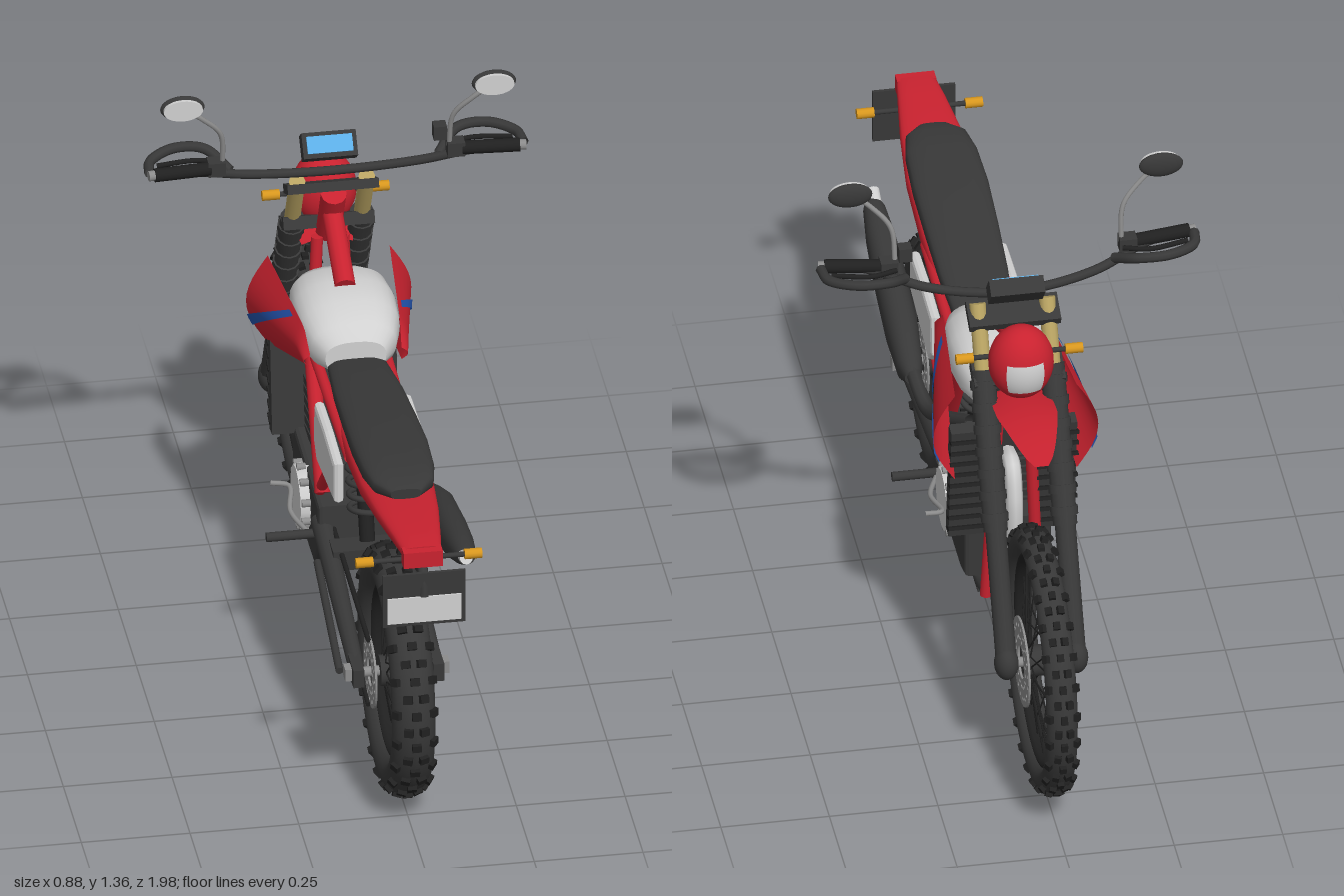
import * as THREE from 'three';
import { mergeGeometries } from 'three/addons/utils/BufferGeometryUtils.js';

const mat = (name, color, side = THREE.FrontSide) => {
  const m = new THREE.MeshStandardMaterial({ color, side });
  m.name = name;
  return m;
};
const V = (p) => new THREE.Vector3(...p);
const both = (fn) => [1, -1].forEach(fn);

export function createModel() {
  const red = mat('red', 0xc9222f, THREE.DoubleSide), dark = mat('charcoal', 0x383838, THREE.DoubleSide);
  const black = mat('black', 0x202020), light = mat('light grey', 0xd0d0d0), steel = mat('steel', 0x8c8c8c);
  const gold = mat('gold', 0xb8a362), amber = mat('amber', 0xd8971e);
  const blue = mat('blue', 0x2455b0, THREE.DoubleSide), screen = mat('screen blue', 0x5caee6);
  const root = new THREE.Group();
  root.name = 'motorcycle';

  const add = (name, geo, m, pos = [0, 0, 0], rot = [0, 0, 0], parent = root) => {
    const mesh = new THREE.Mesh(geo, m);
    mesh.name = name;
    mesh.position.set(...pos);
    mesh.rotation.set(...rot);
    parent.add(mesh);
    return mesh;
  };
  const box = (name, size, m, pos, rot) => add(name, new THREE.BoxGeometry(...size), m, pos, rot);
  // straight cylinder between two points
  const rodGeo = (a, b, r, r2 = r, n = 12) => {
    const A = V(a), B = V(b), d = B.clone().sub(A);
    const g = new THREE.CylinderGeometry(r2, r, d.length(), n);
    g.applyQuaternion(new THREE.Quaternion().setFromUnitVectors(V([0, 1, 0]), d.normalize()));
    const c = A.add(B).multiplyScalar(0.5);
    return g.translate(c.x, c.y, c.z);
  };
  const rod = (name, a, b, r, m, r2) => add(name, rodGeo(a, b, r, r2), m);
  const tube = (name, pts, r, m, n = 32) =>
    add(name, new THREE.TubeGeometry(new THREE.CatmullRomCurve3(pts.map(V)), n, r, 8), m);
  const ball = (name, size, m, pos) => add(name, new THREE.SphereGeometry(1, 24, 16).scale(...size), m, pos);
  // side profile given as [z, y], extruded across x
  const slab = (name, pts, width, m, x = 0, bevel = 0.01) => {
    const g = new THREE.ExtrudeGeometry(new THREE.Shape(pts.map((p) => new THREE.Vector2(...p))),
      { depth: width - 2 * bevel, bevelEnabled: true, bevelSize: bevel, bevelThickness: bevel, bevelOffset: -bevel, bevelSegments: 2 });
    g.translate(0, 0, -width / 2 + bevel).rotateY(-Math.PI / 2);
    return add(name, g, m, [x, 0, 0]);
  };
  // rounded body through sections [z, half width, bottom, top], z rising
  const loft = (name, secs, m, x = 0, power = 0.65) => {
    const n = 28, pos = [], idx = [];
    const sp = (v) => Math.sign(v) * Math.abs(v) ** power;
    const ring = ([z, w, b, t]) => {
      for (let j = 0; j < n; j++) {
        const a = j / n * Math.PI * 2;
        pos.push(w * sp(Math.cos(a)), (b + t) / 2 + (t - b) / 2 * sp(Math.sin(a)), z);
      }
    };
    secs.forEach(ring);
    for (let i = 0; i < secs.length - 1; i++) for (let j = 0; j < n; j++) {
      const a = i * n + j, b = i * n + (j + 1) % n;
      idx.push(a, b, a + n, b, b + n, a + n);
    }
    [secs[0], secs[secs.length - 1]].forEach((s, end) => {
      const o = pos.length / 3;
      ring(s);
      pos.push(0, (s[2] + s[3]) / 2, s[0]);
      for (let j = 0; j < n; j++) {
        const k = o + (j + 1) % n;
        end ? idx.push(o + n, o + j, k) : idx.push(o + n, k, o + j);
      }
    });
    const g = new THREE.BufferGeometry();
    g.setAttribute('position', new THREE.Float32BufferAttribute(pos, 3));
    g.setIndex(idx);
    g.computeVertexNormals();
    return add(name, g, m, [x, 0, 0]);
  };
  // open sheet from a rule f(u, v) -> [x, y, z]
  const sheet = (name, f, m, nu = 16, nv = 12) => {
    const g = new THREE.PlaneGeometry(1, 1, nu, nv), p = g.attributes.position;
    for (let i = 0; i < p.count; i++) p.setXYZ(i, ...f(p.getX(i) + 0.5, p.getY(i) + 0.5));
    g.computeVertexNormals();
    return add(name, g, m);
  };

  // Wheels
  const wheel = (name, y, z, R, rr, hw, rows) => {
    const g = new THREE.Group();
    g.name = name;
    g.position.set(0, y, z);
    root.add(g);
    const lathe = (r, a, b, k) => {
      const pts = [];
      for (let i = 0; i <= k; i++) {
        const t = i / k * Math.PI * 2;
        pts.push(new THREE.Vector2(r + a * Math.cos(t), b * Math.sin(t)));
      }
      return new THREE.LatheGeometry(pts, 64).rotateZ(Math.PI / 2);
    };
    add('tyre', lathe(R, rr, hw, 20), dark, undefined, undefined, g);
    const rimR = R - rr - 0.002;
    add('rim', lathe(rimR, 0.009, hw * 0.55, 10), black, undefined, undefined, g);
    const knobs = [], spokes = [];
    for (let i = 0; i < rows; i++) {
      const xs = i % 2 ? [0.32, -0.32] : [0, 0.85, -0.85];
      xs.forEach((s) => {
        const t = s * 1.1;
        const k = new THREE.BoxGeometry(hw * 0.42, 0.018, 0.018).rotateZ(-t);
        k.translate(hw * Math.sin(t), R + rr * Math.cos(t), 0).rotateX(i / rows * Math.PI * 2);
        knobs.push(k);
      });
    }
    for (let i = 0; i < 36; i++) {
      const a = i / 36 * Math.PI * 2, b = a + (i % 4 < 2 ? 0.5 : -0.5), s = i % 2 ? 0.028 : -0.028;
      spokes.push(rodGeo([s, 0.036 * Math.cos(b), 0.036 * Math.sin(b)], [0, rimR * Math.cos(a), rimR * Math.sin(a)], 0.002, 0.002, 5));
    }
    add('tyreKnobs', mergeGeometries(knobs), black, undefined, undefined, g);
    add('spokes', mergeGeometries(spokes), black, undefined, undefined, g);
    add('hub', rodGeo([-0.04, 0, 0], [0.04, 0, 0], 0.036, 0.036, 24), dark, undefined, undefined, g);
    add('axle', rodGeo([-0.1, 0, 0], [0.1, 0, 0], 0.012), steel, undefined, undefined, g);
    return g;
  };
  const disc = (name, parent, x, r, inner) => {
    const s = new THREE.Shape().absarc(0, 0, r, 0, Math.PI * 2);
    s.holes.push(new THREE.Path().absarc(0, 0, inner, 0, Math.PI * 2, true));
    for (let i = 0; i < 36; i++) {
      const a = i / 18 * Math.PI * 2, q = inner + (r - inner) * (i < 18 ? 0.3 : 0.72), o = i < 18 ? 0 : 0.17;
      s.holes.push(new THREE.Path().absarc(q * Math.cos(a + o), q * Math.sin(a + o), 0.005, 0, Math.PI * 2, true));
    }
    add(name, new THREE.ExtrudeGeometry(s, { depth: 0.005, bevelEnabled: false, curveSegments: 24 }).rotateY(Math.PI / 2), steel, [x, 0, 0], undefined, parent);
  };
  const front = wheel('frontWheel', 0.33, -0.68, 0.274, 0.03, 0.036, 52);
  const rear = wheel('rearWheel', 0.3, 0.595, 0.241, 0.044, 0.05, 44);
  disc('frontBrakeDisc', front, 0.042, 0.105, 0.04);
  disc('rearBrakeDisc', rear, 0.046, 0.085, 0.035);
  disc('rearSprocket', rear, -0.062, 0.085, 0.035);

  // Fork, clamps and headstock
  both((s) => {
    const x = s * 0.08, at = (y) => [x, y, -0.68 + (y - 0.33) * 0.513];
    rod('forkLower', at(0.31), at(0.62), 0.024, dark);
    rod('forkBoot', at(0.6), at(0.93), 0.028, dark);
    for (let i = 0; i < 7; i++) rod('forkBootRib', at(0.62 + i * 0.045), at(0.638 + i * 0.045), 0.032, dark);
    rod('forkTube', at(0.92), at(1.065), 0.019, gold);
    ball('axleClamp', [0.028, 0.04, 0.035], dark, [x, 0.33, -0.68]);
  });
  box('upperClamp', [0.21, 0.022, 0.07], dark, [0, 1.04, -0.315], [-0.47, 0, 0]);
  box('lowerClamp', [0.21, 0.03, 0.07], dark, [0, 0.915, -0.375], [-0.47, 0, 0]);
  rod('headstock', [0, 0.9, -0.35], [0, 1.04, -0.28], 0.03, red);

  // Handlebar and controls
  tube('handlebar', [[-0.42, 1.158, -0.23], [-0.32, 1.148, -0.245], [-0.2, 1.11, -0.28], [-0.06, 1.09, -0.3], [0.06, 1.09, -0.3],
    [0.2, 1.11, -0.28], [0.32, 1.148, -0.245], [0.42, 1.158, -0.23]], 0.011, dark, 48);
  both((s) => {
    rod('grip', [s * 0.29, 1.154, -0.245], [s * 0.42, 1.158, -0.23], 0.016, black);
    rod('barEnd', [s * 0.42, 1.158, -0.23], [s * 0.434, 1.158, -0.228], 0.012, steel);
    box('switchBlock', [0.04, 0.035, 0.035], dark, [s * 0.275, 1.155, -0.25]);
    tube('handGuard', [[s * 0.43, 1.158, -0.24], [s * 0.42, 1.16, -0.29], [s * 0.36, 1.165, -0.33], [s * 0.29, 1.16, -0.325], [s * 0.24, 1.13, -0.27]], 0.012, dark);
    tube('lever', [[s * 0.26, 1.155, -0.27], [s * 0.32, 1.155, -0.285], [s * 0.41, 1.158, -0.27]], 0.006, black);
    tube('mirrorStem', [[s * 0.26, 1.16, -0.25], [s * 0.268, 1.25, -0.235], [s * 0.31, 1.3, -0.22], [s * 0.34, 1.325, -0.215]], 0.006, steel);
    ball('mirrorShell', [0.051, 0.031, 0.014], dark, [s * 0.358, 1.337, -0.218]);
    add('mirrorGlass', rodGeo([0, 0, 0], [0, 0, 0.008], 1, 1, 32).scale(0.045, 0.026, 1), light, [s * 0.358, 1.337, -0.21]);
  });
  box('brakeReservoir', [0.03, 0.035, 0.03], dark, [0.24, 1.195, -0.26]);
  box('displayHousing', [0.125, 0.06, 0.04], dark, [0, 1.125, -0.35], [-0.7, 0, 0]);
  box('displayScreen', [0.105, 0.04, 0.006], screen, [0, 1.139, -0.334], [-0.7, 0, 0]);

  // Headlight, indicators and front mudguard
  ball('headlightShell', [0.075, 0.092, 0.068], red, [0, 0.975, -0.418]);
  add('headlightLens', new THREE.SphereGeometry(1, 16, 12, Math.PI * 1.5 - 0.6, 1.2, Math.PI / 2 - 0.3, 0.85).scale(0.077, 0.094, 0.071), light, [0, 0.975, -0.418]);
  const indicator = (s, inner, outer, y, z) => {
    rod('indicatorStem', [s * inner, y, z], [s * outer, y, z], 0.006, dark);
    rod('indicator', [s * (outer - 0.02), y, z], [s * (outer + 0.02), y, z], 0.012, amber);
  };
  both((s) => indicator(s, 0.06, 0.126, 0.98, -0.395));
  sheet('frontMudguard', (u, v) => {
    const q = 2 * u - 1, w = 0.07 * Math.min(1, Math.sqrt(v * 1.6 + 0.05)) * (v > 0.8 ? 1 - (v - 0.8) * 0.8 : 1);
    return [q * w, 0.868 + 0.022 * Math.sin(Math.PI * v) - 0.012 * q * q * v, -0.69 + 0.32 * v];
  }, red);

  // Tank, backbone and side shrouds
  loft('fuelTank', [[-0.29, 0.06, 0.77, 0.82], [-0.27, 0.09, 0.75, 0.855], [-0.22, 0.112, 0.74, 0.88], [-0.14, 0.12, 0.73, 0.894],
    [-0.06, 0.116, 0.73, 0.885], [0, 0.098, 0.74, 0.86], [0.03, 0.07, 0.75, 0.83]], light, 0, 0.8);
  rod('backbone', [0, 0.985, -0.31], [0, 0.89, -0.12], 0.024, red);
  const shroudTop = (z) => (z > -0.02 ? 0.845 - (z + 0.02) * 0.8 : 0.848);
  const shroudBottom = (z) => 0.775 - (0.03 - z) * 0.41;
  const shroudX = (z, y) => {
    const f = (0.03 - z) / 0.38, v = (y - shroudBottom(z)) / (shroudTop(z) - shroudBottom(z));
    return 0.105 + 0.035 * f + 0.05 * Math.sin(Math.PI * Math.min(1, Math.max(0, v))) * (0.3 + 0.7 * f);
  };
  both((s) => {
    sheet('sideShroud', (u, v) => {
      const z = 0.03 - 0.38 * u, y = shroudBottom(z) + v * (shroudTop(z) - shroudBottom(z));
      return [s * shroudX(z, y), y, z];
    }, red);
    sheet('shroudStripe', (u, v) => {
      const z = -0.09 - 0.26 * u - 0.03 * v * (1 - u), y = 0.84 - 0.172 * u + 0.03 * v * u;
      return [s * (shroudX(z, y) + 0.004), y, z];
    }, blue, 16, 3);
  });

  // Seat, tail and side panels
  loft('seat', [[0.025, 0.05, 0.765, 0.785], [0.05, 0.068, 0.758, 0.795], [0.2, 0.08, 0.77, 0.82], [0.35, 0.085, 0.785, 0.842], [0.5, 0.088, 0.8, 0.86],
    [0.62, 0.083, 0.81, 0.868], [0.69, 0.07, 0.82, 0.866], [0.73, 0.035, 0.83, 0.855]], dark);
  loft('tail', [[0.24, 0.08, 0.715, 0.77], [0.4, 0.085, 0.725, 0.79], [0.6, 0.085, 0.755, 0.812], [0.75, 0.072, 0.78, 0.825],
    [0.88, 0.055, 0.795, 0.835], [0.95, 0.045, 0.805, 0.833]], red);
  box('tailLight', [0.09, 0.04, 0.03], red, [0, 0.81, 0.955]);
  tube('plateBracket', [[0, 0.8, 0.92], [0, 0.775, 0.965], [0, 0.72, 0.98]], 0.012, dark);
  box('plateHolder', [0.19, 0.135, 0.008], dark, [0, 0.715, 0.98]);
  box('numberPlate', [0.17, 0.066, 0.004], light, [0, 0.69, 0.986]);
  both((s) => {
    indicator(s, 0, 0.125, 0.777, 0.905);
    slab('sidePanel', [[0.4, 0.735], [0.26, 0.742], [0.125, 0.738], [0.115, 0.64], [0.16, 0.6], [0.4, 0.635]], 0.025, light, s * 0.1);
  });

  // Frame
  both((s) => {
    rod('downTube', [s * 0.03, 0.9, -0.33], [s * 0.06, 0.26, -0.3], 0.014, red);
    rod('seatPost', [s * 0.08, 0.78, -0.12], [s * 0.085, 0.47, 0.08], 0.018, red);
    rod('subframeStay', [s * 0.09, 0.66, 0.26], [s * 0.085, 0.45, 0.04], 0.013, red);
    rod('subframeRail', [s * 0.075, 0.75, 0.4], [s * 0.08, 0.75, -0.05], 0.013, red);
    tube('cradleTube', [[s * 0.06, 0.27, -0.3], [s * 0.06, 0.245, -0.2], [s * 0.06, 0.245, -0.02], [s * 0.07, 0.3, 0.12], [s * 0.08, 0.42, 0.09]], 0.013, dark);
  });
  box('skidPlate', [0.14, 0.012, 0.26], dark, [0, 0.24, -0.12]);

  // Engine, radiators and exhaust
  slab('crankcase', [[0.11, 0.45], [-0.23, 0.46], [-0.25, 0.43], [-0.25, 0.28], [-0.2, 0.265], [0.05, 0.265], [0.12, 0.35]], 0.2, dark);
  for (let i = 0; i < 6; i++) box('cylinderFin', [0.15, 0.018, 0.14], dark, [0, 0.47 + i * 0.024, -0.16 - i * 0.004], [-0.17, 0, 0]);
  box('cylinder', [0.13, 0.15, 0.12], dark, [0, 0.53, -0.17], [-0.17, 0, 0]);
  box('cylinderHead', [0.12, 0.08, 0.11], dark, [0, 0.64, -0.185], [-0.17, 0, 0]);
  both((s) => {
    rod('engineCover', [s * 0.09, 0.375, -0.07], [s * 0.122, 0.375, -0.07], 0.08, light, 0.074);
    for (let i = 0; i < 10; i++) {
      const a = i / 5 * Math.PI;
      const y = 0.375 + 0.077 * Math.cos(a), z = -0.07 + 0.077 * Math.sin(a);
      rod('coverBolt', [s * 0.1, y, z], [s * 0.12, y, z], 0.009, steel);
    }
    box('radiator', [0.09, 0.31, 0.035], dark, [s * 0.1, 0.58, -0.295], [-0.13, 0, 0]);
    for (let i = 0; i < 9; i++) box('radiatorLouvre', [0.095, 0.008, 0.03], black, [s * 0.1, 0.45 + i * 0.032, -0.297 - i * 0.0042], [0.4, 0, 0]);
    rod('footPeg', [s * 0.09, 0.355, 0.065], [s * 0.212, 0.355, 0.065], 0.011, dark);
    tube('footLever', [[s * 0.11, 0.35, 0.06], [s * 0.14, 0.36, -0.03], [s * 0.13, 0.375, -0.12], [s * 0.17, 0.38, -0.13]], 0.006, steel);
  });
  tube('headerPipe', [[0, 0.6, -0.23], [0, 0.61, -0.3], [0, 0.54, -0.33], [0, 0.4, -0.325], [0, 0.28, -0.31]], 0.02, light);
  tube('exhaustPipe', [[0.06, 0.6, -0.1], [0.1, 0.55, 0], [0.125, 0.51, 0.1], [0.14, 0.54, 0.24]], 0.017, dark);
  loft('muffler', [[0.2, 0.018, 0.51, 0.545], [0.24, 0.03, 0.49, 0.565], [0.34, 0.038, 0.505, 0.61], [0.5, 0.038, 0.55, 0.645],
    [0.62, 0.034, 0.59, 0.667], [0.7, 0.026, 0.625, 0.675], [0.725, 0.018, 0.64, 0.67]], dark, 0.14, 0.9);
  rod('exhaustTip', [0.135, 0.655, 0.71], [0.135, 0.672, 0.75], 0.015, light);

  // Swingarm, chain and shock
  both((s) => {
    rod('swingarm', [s * 0.085, 0.39, 0.07], [s * 0.09, 0.3, 0.6], 0.026, dark, 0.018);
    box('axleBlock', [0.025, 0.045, 0.08], dark, [s * 0.092, 0.302, 0.59]);
    box('axleNut', [0.03, 0.03, 0.03], steel, [s * 0.105, 0.302, 0.595]);
    rod('chainRun', [-0.065, 0.355 + s * 0.04, 0.02], [-0.065, 0.3 + s * 0.085, 0.6], 0.006, black);
  });
  box('swingarmBridge', [0.17, 0.05, 0.06], dark, [0, 0.375, 0.2]);
  rod('kickstand', [-0.1, 0.3, 0.1], [-0.115, 0.25, 0.5], 0.009, dark);
  rod('shockBody', [0, 0.4, 0.19], [0, 0.7, 0.08], 0.018, black);
  const coil = [];
  for (let i = 0; i <= 84; i++) {
    const t = i / 84, a = t * Math.PI * 14;
    coil.push([0.036 * Math.cos(a), 0.46 + 0.2 * t + 0.012 * Math.sin(a), 0.168 - 0.073 * t + 0.036 * Math.sin(a)]);
  }
  tube('shockSpring', coil, 0.007, dark, 200);
  return root;
}
